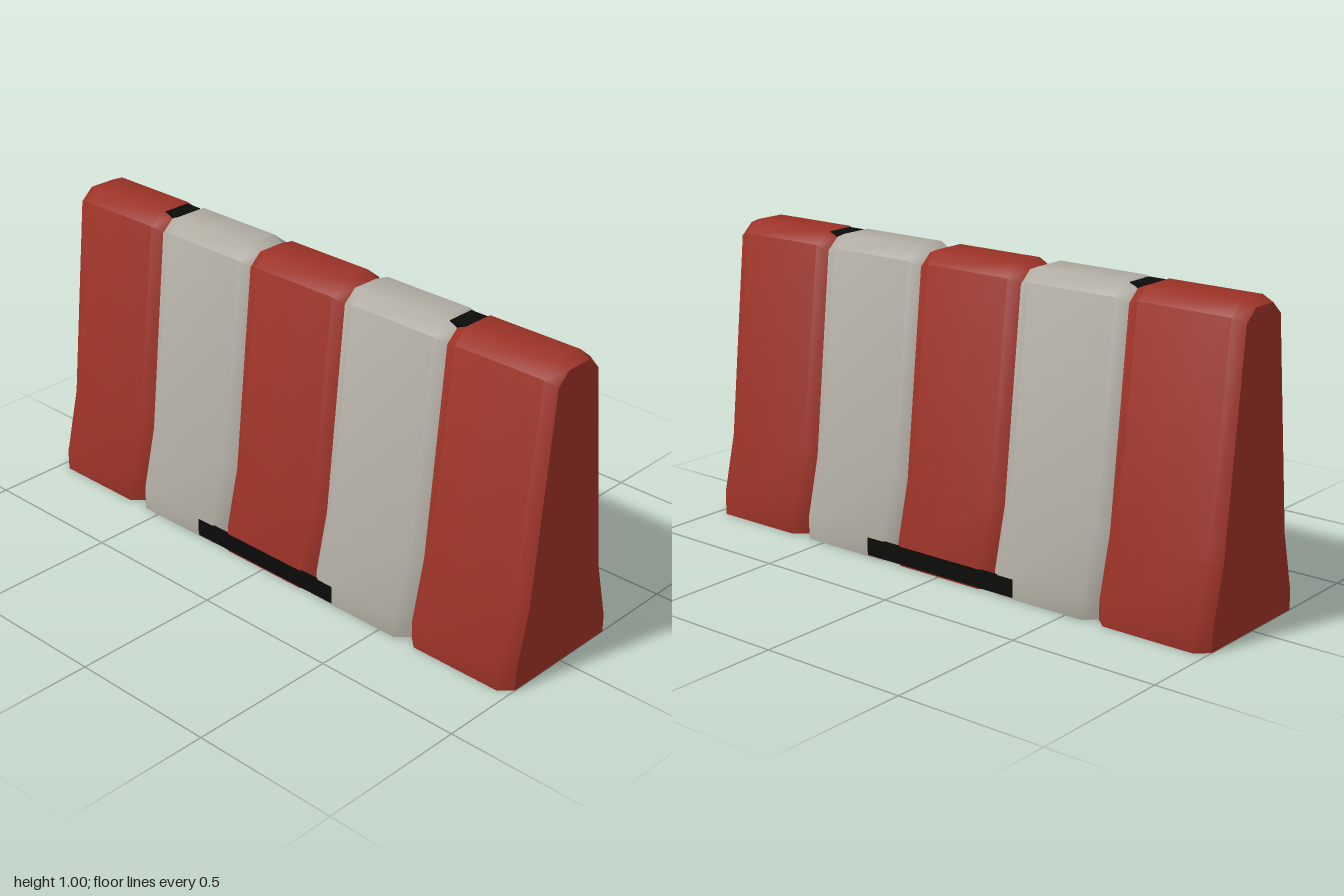
import * as THREE from 'three';
import { toCreasedNormals } from 'three/addons/utils/BufferGeometryUtils.js';

const material = (name, color) => new THREE.MeshStandardMaterial({ name, color });

// Half profiles as [z, y] from the ground up: full section and narrowed end section
const FULL = [[0.25, 0], [0.25, 0.07], [0.19, 0.26], [0.105, 0.96], [0.055, 1]];
const END = [[0.213, 0], [0.213, 0.06], [0.165, 0.26], [0.09, 0.945], [0.046, 0.984]];

// One barrier segment: four mirrored sections lofted along x, with end caps
function segmentGeometry() {
  const sections = [[-0.2, END], [-0.16, FULL], [0.16, FULL], [0.2, END]];
  const n = FULL.length * 2;
  const positions = [];
  for (const [x, half] of sections) {
    for (const [z, y] of half) positions.push(x, y, z);
    for (const [z, y] of [...half].reverse()) positions.push(x, y, -z);
  }
  const index = [];
  const quad = (a, b, c, d) => index.push(a, b, c, a, c, d);
  for (let s = 0; s < 3; s++) {
    for (let i = 0; i < n; i++) {
      const j = (i + 1) % n;
      quad(s * n + i, (s + 1) * n + i, (s + 1) * n + j, s * n + j);
    }
  }
  for (let i = 0; i < n / 2 - 1; i++) {
    const r = 3 * n;
    quad(r + i, r + n - 1 - i, r + n - 2 - i, r + i + 1);
    quad(i + 1, n - 2 - i, n - 1 - i, i);
  }
  const geometry = new THREE.BufferGeometry();
  geometry.setAttribute('position', new THREE.Float32BufferAttribute(positions, 3));
  geometry.setIndex(index);
  return toCreasedNormals(geometry, 0.8);
}

export function createModel() {
  const group = new THREE.Group();
  group.name = 'roadBarrier';
  const red = material('red', 0x9b3227);
  const white = material('offWhite', 0xb0aca2);
  const black = material('black', 0x0b0b0a);

  const add = (name, geometry, mat, x, y, z) => {
    const mesh = new THREE.Mesh(geometry, mat);
    mesh.name = name;
    mesh.position.set(x, y, z);
    group.add(mesh);
  };

  // Five alternating segments
  const segment = segmentGeometry();
  for (let i = 0; i < 5; i++) {
    add(i % 2 ? 'whiteSegment' : 'redSegment', segment, i % 2 ? white : red, (i - 2) * 0.4, 0, 0);
  }

  // Base strips on both faces and small blocks in the outer top grooves
  const strip = new THREE.BoxGeometry(0.6, 0.06, 0.008);
  const block = new THREE.BoxGeometry(0.06, 0.06, 0.096);
  for (const side of [-1, 1]) {
    add('baseStrip', strip, black, 0, 0.035, side * 0.247);
    add('topBlock', block, black, side * 0.602, 0.968, 0);
  }
  return group;
}
